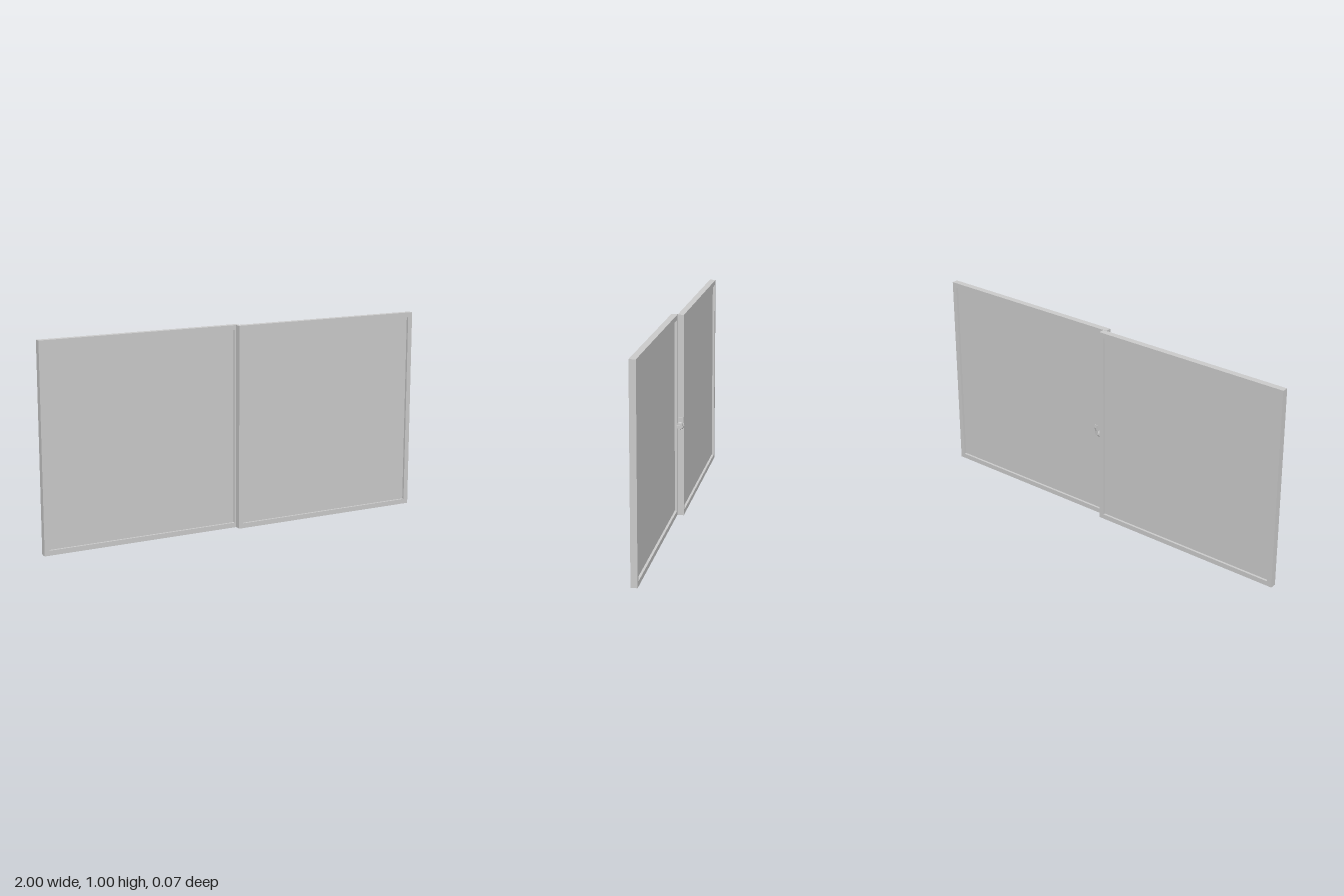
import * as THREE from 'three';

const material = new THREE.MeshStandardMaterial({ color: 0xcccccc, flatShading: true });
const BORDER = 0.024, DEPTH = 0.031;

function add(parent, name, geometry, x, y, z) {
  const mesh = new THREE.Mesh(geometry, material);
  mesh.name = name;
  mesh.position.set(x, y, z);
  parent.add(mesh);
  return mesh;
}

function rectangle(PathType, x0, y0, x1, y1) {
  return new PathType([[x0, y0], [x1, y0], [x1, y1], [x0, y1]].map(p => new THREE.Vector2(...p)));
}

// Sliding sash: a square-cut frame around a recessed pane
function sash(name, x0, x1, zBack) {
  const group = new THREE.Group();
  group.name = name;
  const outline = rectangle(THREE.Shape, x0, 0, x1, 1);
  outline.holes.push(rectangle(THREE.Path, x0 + BORDER, BORDER, x1 - BORDER, 1 - BORDER));
  add(group, 'frame', new THREE.ExtrudeGeometry(outline, { depth: DEPTH, bevelEnabled: false }), 0, 0, zBack);
  const pane = new THREE.BoxGeometry(x1 - x0 - 2 * BORDER, 1 - 2 * BORDER, 0.008);
  add(group, 'pane', pane, (x0 + x1) / 2, 0.5, zBack + DEPTH / 2);
  return group;
}

// Latch on the meeting edge of the rear sash, turning about the x axis
function latch() {
  const group = new THREE.Group();
  group.name = 'latch';
  group.position.set(0.016, 0.456, -0.012);

  // Mounting tabs above and below the round boss
  for (const side of [-1, 1]) {
    add(group, 'mountingTab', new THREE.BoxGeometry(0.005, 0.022, 0.02), 0.0025, side * 0.029, 0);
  }
  const boss = new THREE.CylinderGeometry(0.015, 0.019, 0.014, 12).rotateZ(-Math.PI / 2);
  add(group, 'boss', boss, 0.007, 0, 0);
  const spindle = new THREE.CylinderGeometry(0.008, 0.008, 0.012, 10).rotateZ(-Math.PI / 2);
  add(group, 'spindle', spindle, 0.018, 0, 0);

  // Catch that reaches towards the front sash
  add(group, 'catch', new THREE.BoxGeometry(0.008, 0.014, 0.016), 0.022, 0, 0.008);

  // Cranked thumb lever, drawn in the z-y plane and given its width along x
  const lever = new THREE.Shape([
    [0, -0.006], [0.014, -0.004], [0.016, 0.018], [0.021, 0.036],
    [0.020, 0.052], [0.017, 0.052], [0.017, 0.037], [0.011, 0.019], [0, 0.006],
  ].map(([back, up]) => new THREE.Vector2(back, up)));
  const leverGeometry = new THREE.ExtrudeGeometry(lever, { depth: 0.009, bevelEnabled: false })
    .rotateY(Math.PI / 2);
  add(group, 'lever', leverGeometry, 0.019, 0, 0);
  add(group, 'thumbPad', new THREE.BoxGeometry(0.018, 0.016, 0.003), 0.021, 0.044, -0.0185);
  return group;
}

export function createModel() {
  const model = new THREE.Group();
  model.name = 'slidingWindow';
  model.add(
    sash('frontSash', 0, 1, 0.003),
    sash('rearSash', -1, 0.016, -0.029),
    latch(),
  );
  return model;
}
